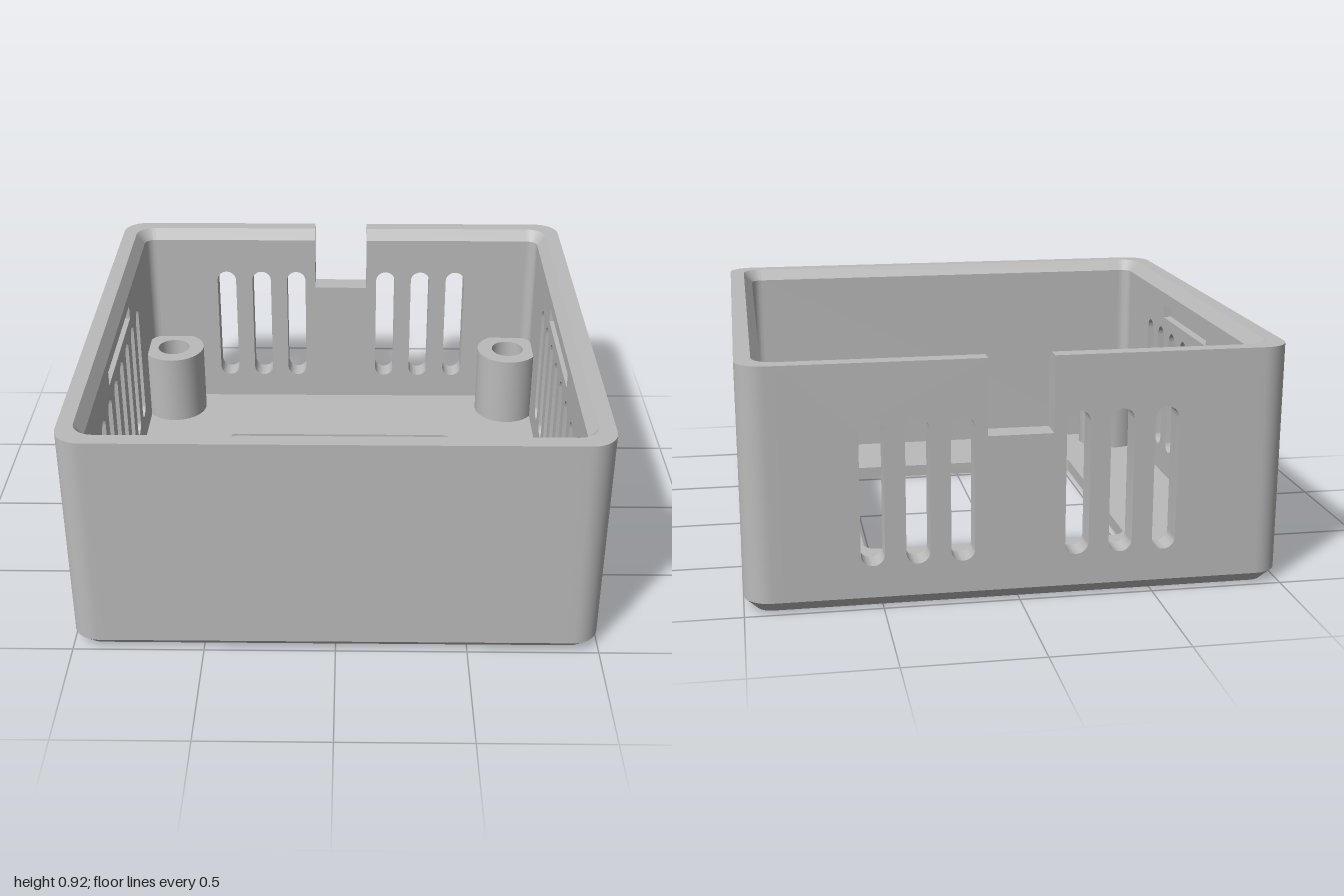
import * as THREE from 'three';
import { toCreasedNormals } from 'three/addons/utils/BufferGeometryUtils.js';

const TOP = 0.915, FLOOR = 0.05, CHAMFER = 0.045;
const OUT = 1, LIP = 0.94, INNER = 0.905, FLAT = 0.86, LIP_Y = 0.87;

const grey = new THREE.MeshStandardMaterial({ color: 0xbbbbbb });
grey.name = 'grey plastic';

function mesh(name, geometry) {
  const m = new THREE.Mesh(toCreasedNormals(geometry, 0.5), grey);
  m.name = name;
  return m;
}

// Points round one corner of a rounded square, from the +x side to the +z side
function cornerPoints(half, radius, segments = 10) {
  const c = half - radius, points = [];
  for (let i = 0; i <= segments; i++) {
    const a = (i / segments) * Math.PI / 2;
    points.push([c + radius * Math.cos(a), c + radius * Math.sin(a)]);
  }
  return points;
}

// Sweeps a profile of [half width, corner radius, y] round one corner or the full square
function sweep(profile, full) {
  const loops = profile.map(([half, radius, y]) => {
    let corner = cornerPoints(half, radius);
    let loop = [];
    if (full) {
      for (let k = 0; k < 4; k++) {
        loop.push(...corner);
        corner = corner.map(([x, z]) => [-z, x]);
      }
      loop.push(loop[0]);
    } else {
      loop = [[half, FLAT], ...corner, [FLAT, half]];
    }
    return loop.map(([x, z]) => [x, y, z]);
  });
  const n = loops[0].length, index = [];
  for (let i = 0; i < loops.length - 1; i++) {
    for (let j = 0; j < n - 1; j++) {
      const a = i * n + j, up = a + n;
      index.push(a, up, up + 1, a, up + 1, a + 1);
    }
  }
  const g = new THREE.BufferGeometry();
  g.setAttribute('position', new THREE.Float32BufferAttribute(loops.flat(2), 3));
  g.setIndex(index);
  return g;
}

// Upright vent slot with round ends
function slot(x, r = 0.0435, y0 = 0.165, y1 = 0.71) {
  const p = new THREE.Path();
  p.absarc(x, y1 - r, r, 0, Math.PI, false);
  p.absarc(x, y0 + r, r, Math.PI, Math.PI * 2, false);
  p.closePath();
  return p;
}

function rectangle(x0, x1, y0, y1) {
  return new THREE.Path([[x0, y0], [x1, y0], [x1, y1], [x0, y1]].map(p => new THREE.Vector2(...p)));
}

// Flat wall in two layers; the inner one has the sloped lip and the latch groove
function wall(name, { slots = [], groove = false, notch = false }) {
  const group = new THREE.Group();
  group.name = name;
  const outline = [[-FLAT, CHAMFER], [FLAT, CHAMFER], [FLAT, TOP]];
  if (notch) outline.push([0.12, TOP], [0.12, 0.63], [-0.12, 0.63], [-0.12, TOP]);
  outline.push([-FLAT, TOP]);

  const layer = (z0, z1, extraHoles) => {
    const shape = new THREE.Shape(outline.map(p => new THREE.Vector2(...p)));
    shape.holes.push(...slots.map(x => slot(x)), ...extraHoles);
    return new THREE.ExtrudeGeometry(shape, { depth: z1 - z0, bevelEnabled: false, curveSegments: 10 })
      .translate(0, 0, z0);
  };

  const inner = layer(INNER, LIP, groove ? [rectangle(-0.3, 0.3, 0.76, 0.82)] : []);
  const p = inner.attributes.position;
  for (let i = 0; i < p.count; i++) {
    if (p.getY(i) > TOP - 0.001 && p.getZ(i) < INNER + 0.001) p.setY(i, LIP_Y);
  }
  group.add(mesh(name + 'Outer', layer(LIP, OUT, [])), mesh(name + 'Inner', inner));
  return group;
}

export function createModel() {
  const model = new THREE.Group();
  model.name = 'ventedBox';

  // Floor with square opening and chamfered bottom edge
  model.add(mesh('floor', sweep([
    [INNER + 0.005, 0.045, FLOOR], [0.525, 0.05, FLOOR], [0.525, 0.05, 0],
    [0.955, 0.06, 0], [OUT, 0.1, CHAMFER],
  ], true)));

  // Walls
  const sideSlots = [-3, -2, -1, 0, 1, 2, 3].map(i => i * 0.163);
  const backSlots = [0.21, 0.373, 0.537].flatMap(x => [-x, x]);
  const walls = [
    wall('frontWall', {}),
    wall('leftWall', { slots: sideSlots, groove: true }),
    wall('backWall', { slots: backSlots, notch: true }),
    wall('rightWall', { slots: sideSlots, groove: true }),
  ];

  // Rounded corners and screw posts
  const cornerGeometry = sweep([
    [OUT, 0.1, CHAMFER], [OUT, 0.1, TOP], [LIP, 0.08, TOP],
    [INNER, 0.045, LIP_Y], [INNER, 0.045, CHAMFER],
  ], false);
  const postGeometry = new THREE.LatheGeometry(
    [[0.14, FLOOR], [0.14, 0.37], [0.073, 0.37], [0.073, FLOOR + 0.005], [0, FLOOR + 0.005]]
      .map(p => new THREE.Vector2(...p)), 40);

  walls.forEach((w, i) => {
    w.rotation.y = i * Math.PI / 2;
    const corner = mesh('corner', cornerGeometry);
    corner.rotation.y = i * Math.PI / 2;
    const post = mesh('screwPost', postGeometry);
    post.position.set(i % 2 ? 0.79 : -0.79, 0, i < 2 ? 0.79 : -0.79);
    model.add(w, corner, post);
  });
  return model;
}
